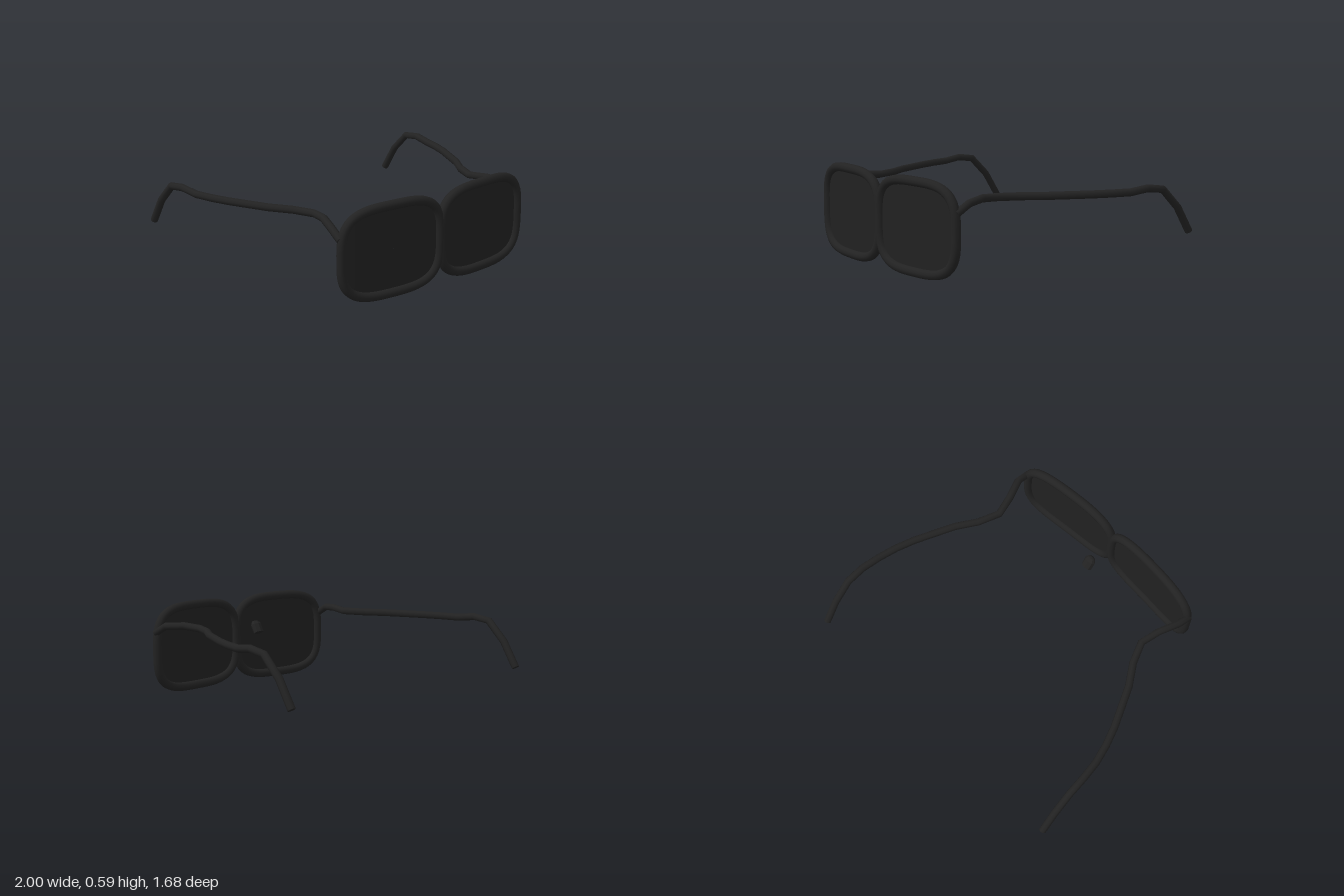
import * as THREE from 'three';

// Straight-segment path, so tube rings land exactly on the points
class Polyline extends THREE.Curve {
  constructor(points) { super(); this.points = points; }
  getPoint(t, target = new THREE.Vector3()) {
    const f = t * (this.points.length - 1);
    const i = Math.min(Math.floor(f), this.points.length - 2);
    return target.lerpVectors(this.points[i], this.points[i + 1], f - i);
  }
  getPointAt(u, target) { return this.getPoint(u, target); }
  getTangentAt(u, target) { return this.getTangent(u, target); }
}

// Rounded-rectangle outline wrapped on the curved front
const HALF_W = 0.351, HALF_H = 0.268, CENTRE_X = 0.354, CENTRE_Y = 0.303;
function frontPoint(angle, scale, side) {
  const c = Math.cos(angle), s = Math.sin(angle), n = 3.4;
  const r = scale / Math.pow(Math.abs(c) ** n + Math.abs(s) ** n, 1 / n);
  const x = side * CENTRE_X + HALF_W * r * c;
  return new THREE.Vector3(x, CENTRE_Y + HALF_H * r * s, 0.81 - 0.115 * x * x);
}

class RimCurve extends THREE.Curve {
  constructor(side) { super(); this.side = side; }
  getPoint(t, target = new THREE.Vector3()) {
    return target.copy(frontPoint(t * Math.PI * 2, 1, this.side));
  }
}

function lensGeometry(side) {
  const geo = new THREE.RingGeometry(0.001, 1, 64, 8);
  const pos = geo.attributes.position;
  for (let i = 0; i < pos.count; i++) {
    const x = pos.getX(i), y = pos.getY(i);
    const p = frontPoint(Math.atan2(y, x), Math.hypot(x, y), side);
    pos.setXYZ(i, p.x, p.y, p.z);
  }
  geo.computeVertexNormals();
  return geo;
}

export function createModel() {
  const model = new THREE.Group();
  model.name = 'sunglasses';
  const frameMat = new THREE.MeshStandardMaterial({ color: 0x222222 });
  frameMat.name = 'black frame';
  const lensMat = new THREE.MeshStandardMaterial({ color: 0x212121, side: THREE.DoubleSide });
  lensMat.name = 'dark lens';

  const add = (name, geo, mat, parent = model) => {
    const mesh = new THREE.Mesh(geo, mat);
    mesh.name = name;
    parent.add(mesh);
    return mesh;
  };

  // Temple arm path on the model's left: x, y, z
  const armPath = [
    [0.712, 0.42, 0.755], [0.705, 0.472, 0.66], [0.655, 0.483, 0.53], [0.625, 0.475, 0.405],
    [0.68, 0.475, 0.27], [0.765, 0.475, 0.14], [0.825, 0.475, 0.01], [0.88, 0.475, -0.11],
    [0.923, 0.475, -0.23], [0.953, 0.475, -0.35], [0.968, 0.49, -0.475], [0.973, 0.474, -0.595],
    [0.974, 0.352, -0.722], [0.974, 0.193, -0.823],
  ];

  for (const side of [1, -1]) {
    const label = side > 0 ? 'left' : 'right';

    // Rim and lens
    add(label + 'Rim', new THREE.TubeGeometry(new RimCurve(side), 72, 0.029, 10, true), frameMat);
    add(label + 'Lens', lensGeometry(side), lensMat);

    // Temple arm with closed ends
    const arm = new THREE.Group();
    arm.name = label + 'Arm';
    model.add(arm);
    const pts = armPath.map(([x, y, z]) => new THREE.Vector3(side * x, y, z));
    add(label + 'Temple', new THREE.TubeGeometry(new Polyline(pts), pts.length - 1, 0.024, 8), frameMat, arm);
    const last = pts.length - 1;
    for (const [name, end, before] of [['Hinge', 0, 1], ['Tip', last, last - 1]]) {
      const cap = add(label + name + 'Cap', new THREE.CircleGeometry(0.024, 8), frameMat, arm);
      cap.position.copy(pts[end]);
      cap.lookAt(pts[end].clone().multiplyScalar(2).sub(pts[before]));
    }
  }

  // Small nose piece behind the bridge, leaning forward
  const profile = [[0, 0], [0.027, 0], [0.028, 0.058], [0.017, 0.082], [0, 0.088]]
    .map(([r, y]) => new THREE.Vector2(r, y));
  const nose = add('nosePiece', new THREE.LatheGeometry(profile, 8).toNonIndexed(), frameMat);
  nose.geometry.computeVertexNormals();
  nose.scale.x = 1.4;
  nose.position.set(0, 0.37, 0.573);
  nose.rotation.x = 0.53;

  return model;
}
